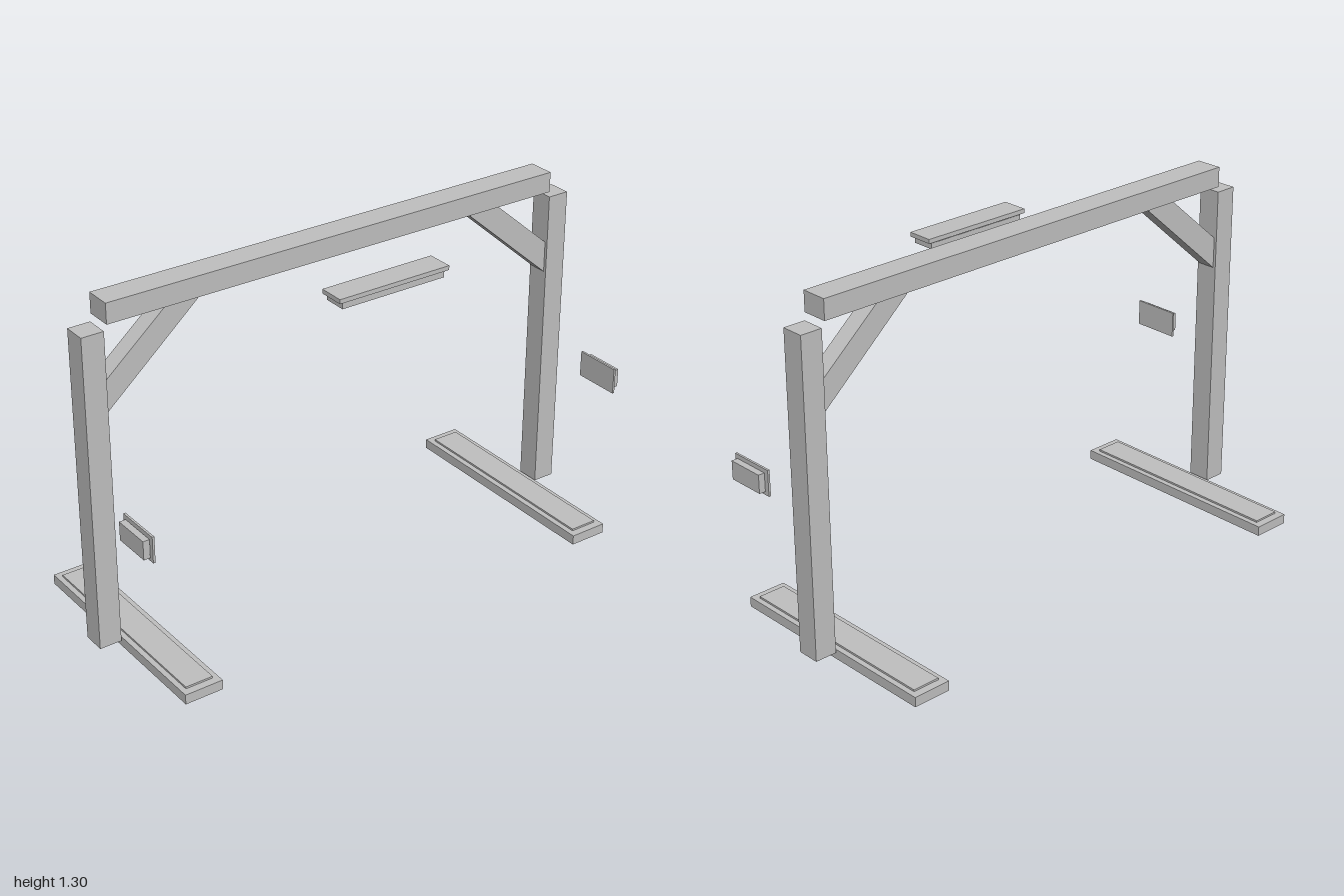
import * as THREE from 'three';

export function createModel() {
  const model = new THREE.Group();
  model.name = 'gantryFrame';
  const grey = new THREE.MeshStandardMaterial({ name: 'plainGrey', color: 0xc0c0c0 });

  // Box given by its two limits on each axis
  function box(name, parent, [x0, x1], [y0, y1], [z0, z1]) {
    const geometry = new THREE.BoxGeometry(x1 - x0, y1 - y0, z1 - z0);
    geometry.translate((x0 + x1) / 2, (y0 + y1) / 2, (z0 + z1) / 2);
    const mesh = new THREE.Mesh(geometry, grey);
    mesh.name = name;
    parent.add(mesh);
  }

  // Diagonal brace, cut flush with the post and the beam
  function brace(name, parent, side) {
    const corners = [[0.915, 0.91], [0.915, 1.027], [0.68, 1.229], [0.562, 1.229], [0.562, 1.218]];
    const shape = new THREE.Shape(corners.map(([x, y]) => new THREE.Vector2(side * x, y)));
    const geometry = new THREE.ExtrudeGeometry(shape, { depth: 0.068, bevelEnabled: false });
    geometry.translate(0, 0, -0.034);
    const mesh = new THREE.Mesh(geometry, grey);
    mesh.name = name;
    parent.add(mesh);
  }

  // Top beam
  box('beam', model, [-0.91, 0.91], [1.23, 1.305], [-0.05, 0.05]);

  // Mirrored supports and side panels
  for (const side of [-1, 1]) {
    const group = new THREE.Group();
    group.name = side > 0 ? 'leftSupport' : 'rightSupport';
    const span = (a, b) => (side > 0 ? [a, b] : [-b, -a]);
    box('post', group, span(0.917, 1), [0.03, 1.206], [-0.043, 0.043]);
    box('foot', group, span(0.765, 0.91), [0, 0.037], [-0.44, 0.44]);
    box('footPad', group, span(0.786, 0.89), [0.037, 0.044], [-0.411, 0.411]);
    brace('brace', group, side);
    box('panelPlate', group, span(0.966, 0.974), [0.542, 0.639], [0.206, 0.383]);
    box('panelBox', group, span(0.976, 1), [0.556, 0.625], [0.222, 0.369]);
    model.add(group);
  }

  // Hanging lamp in front of the beam
  const lamp = new THREE.Group();
  lamp.name = 'lamp';
  box('lampPlate', lamp, [-0.222, 0.222], [1.223, 1.239], [0.247, 0.345]);
  box('lampBody', lamp, [-0.207, 0.207], [1.198, 1.219], [0.253, 0.338]);
  model.add(lamp);

  return model;
}
